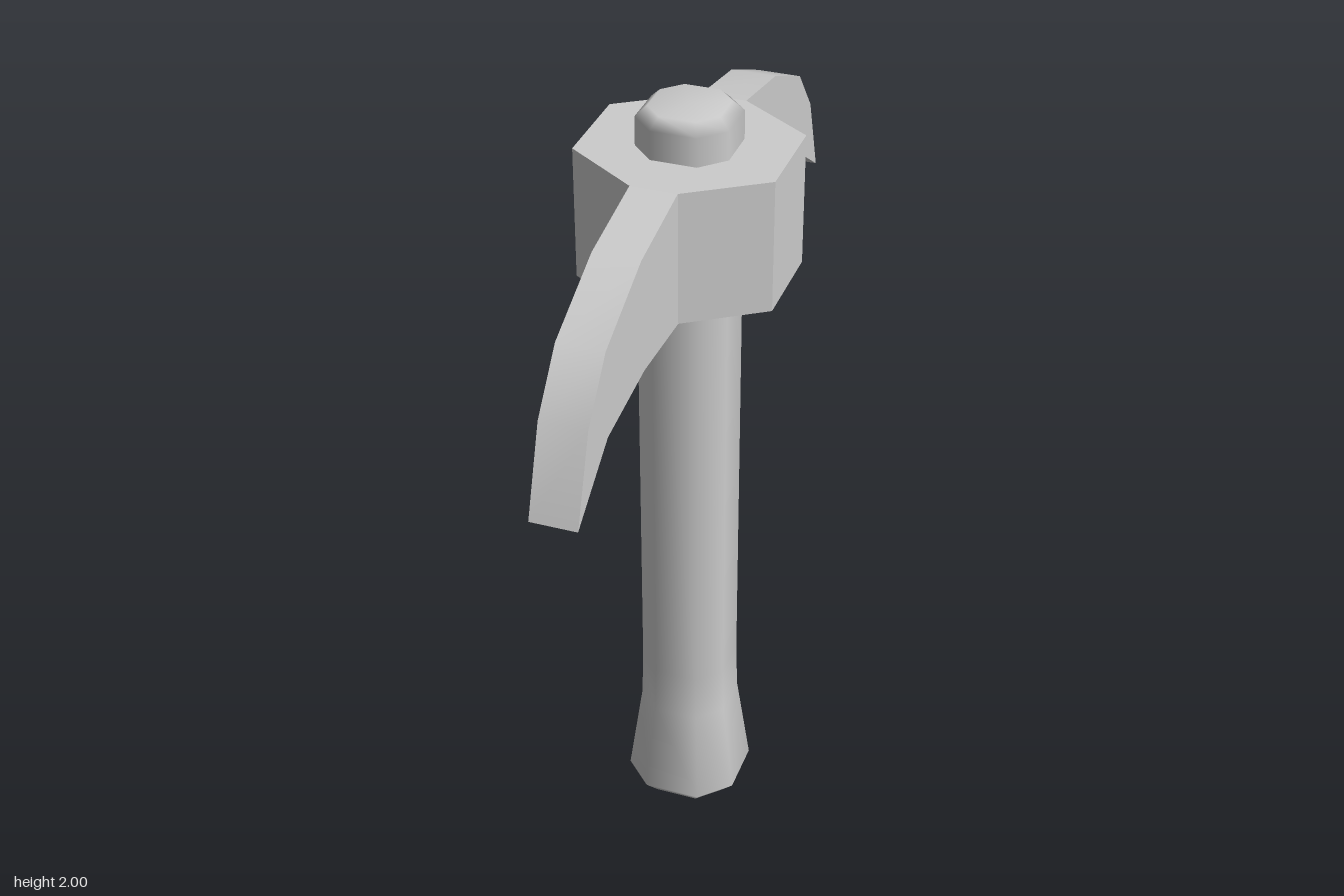
import * as THREE from 'three';
import { toCreasedNormals } from 'three/addons/utils/BufferGeometryUtils.js';

const material = new THREE.MeshStandardMaterial({ color: 0xcccccc });
const toShape = (pts) => new THREE.Shape(pts.map(([x, y]) => new THREE.Vector2(x, y)));

function part(name, geometry) {
  const mesh = new THREE.Mesh(geometry, material);
  mesh.name = name;
  return mesh;
}

// Eight-sided shaft with a flared grip; the profile gives [distance to flat, height]
function handleGeometry() {
  const profile = [[0, 0], [0.108, 0.005], [0.145, 0.05], [0.113, 0.3], [0.11, 0.43], [0.11, 1.975], [0.085, 2], [0, 2]];
  const points = profile.map(([r, y]) => new THREE.Vector2(r / Math.cos(Math.PI / 8), y));
  const geometry = new THREE.LatheGeometry(points, 8, Math.PI / 8);
  // Widen the four main flats slightly
  const pos = geometry.attributes.position;
  for (let i = 0; i < pos.count; i++) {
    const x = pos.getX(i), z = pos.getZ(i);
    if (Math.abs(x) < Math.abs(z)) pos.setX(i, x * 1.2);
    else pos.setZ(i, z * 1.2);
  }
  return geometry;
}

// Six-sided block that holds the handle
function collarGeometry() {
  const outline = [
    [0.235, -0.115], [0.235, 0.115], [0.055, 0.235], [-0.055, 0.235],
    [-0.235, 0.115], [-0.235, -0.115], [-0.055, -0.235], [0.055, -0.235],
  ];
  return new THREE.ExtrudeGeometry(toShape(outline), { depth: 0.325, bevelEnabled: false })
    .rotateX(-Math.PI / 2)
    .translate(0, 1.58, 0);
}

// Curved pick arm, drawn as [z, y] and given an even thickness
function bladeGeometry() {
  const outline = [
    [0.235, 1.58], [0.45, 1.59], [0.67, 1.56], [0.847, 1.44],
    [0.775, 1.645], [0.67, 1.77], [0.46, 1.865], [0.235, 1.905],
  ];
  const geometry = new THREE.ExtrudeGeometry(toShape(outline), { depth: 0.11, bevelEnabled: false })
    .rotateY(-Math.PI / 2)
    .translate(0.055, 0, 0);
  return toCreasedNormals(geometry, 0.55);
}

export function createModel() {
  const group = new THREE.Group();
  group.name = 'pickaxe';
  group.add(part('handle', handleGeometry()), part('collar', collarGeometry()));

  const blade = bladeGeometry();
  const backBlade = part('backBlade', blade);
  backBlade.rotation.y = Math.PI;
  group.add(part('frontBlade', blade), backBlade);
  return group;
}
